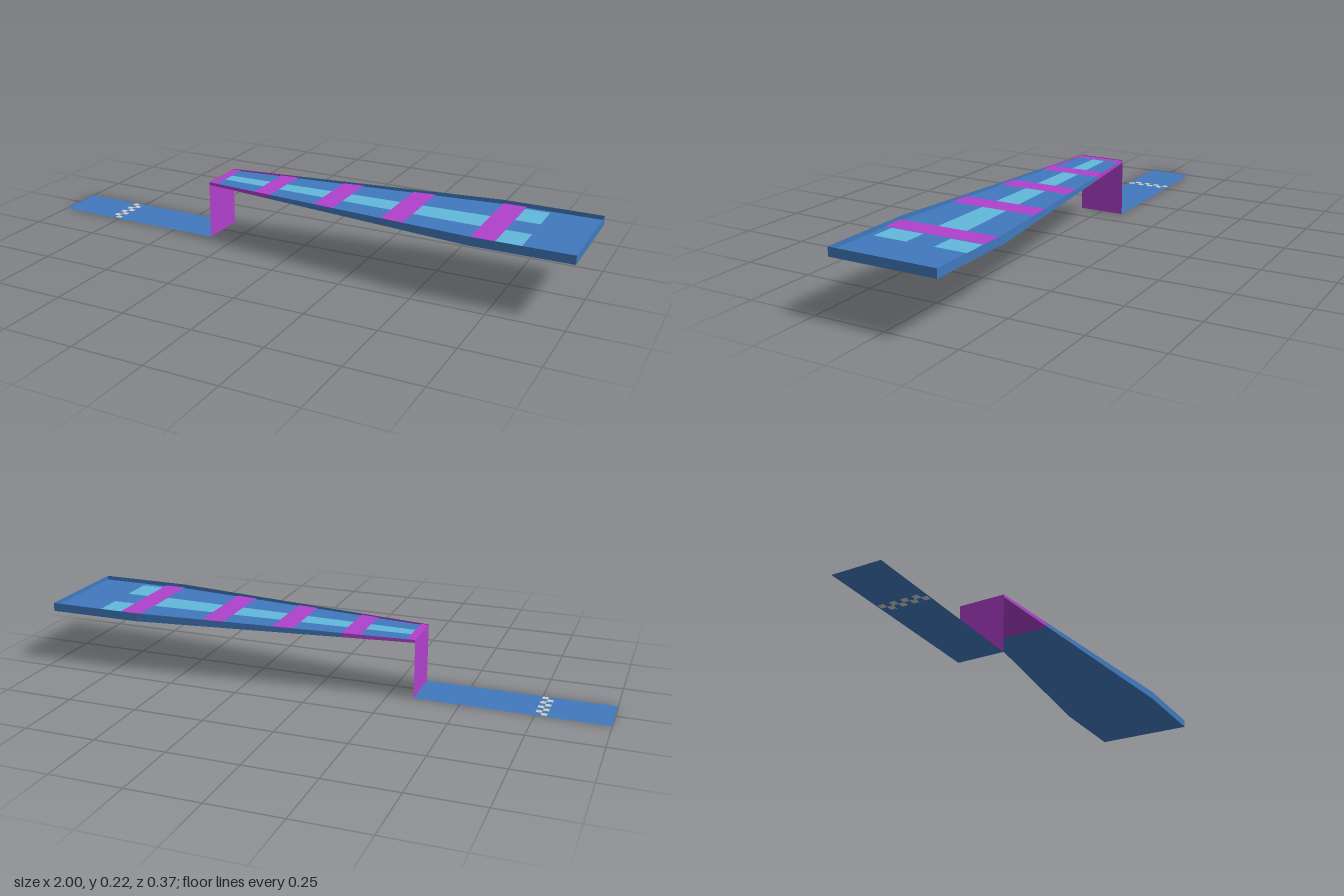
import * as THREE from 'three';

const mat = (color) => new THREE.MeshStandardMaterial({ color, side: THREE.DoubleSide, flatShading: true });
const BLUE = 0x4079bd, PURPLE = 0xb040cc, CYAN = 0x62b8dc;
const MID = 0.205; // height of the raised deck
const X0 = -0.34, XW = 0.66, X1 = 1;

// half width and half rim height of the raised deck along x
const ramp = (x) => Math.min(1, (x - X0) / (XW - X0));
const halfWidth = (x) => 0.085 + 0.102 * ramp(x);
const halfRim = (x) => 0.005 + 0.01 * ramp(x);

export function createModel() {
  const model = new THREE.Group();
  const materials = { [BLUE]: mat(BLUE), [PURPLE]: mat(PURPLE), [CYAN]: mat(CYAN), [0xcccccc]: mat(0xcccccc) };

  // thin four-cornered panel, corners counter-clockwise
  function panel(name, color, a, b, c, d) {
    const g = new THREE.BufferGeometry();
    g.setAttribute('position', new THREE.Float32BufferAttribute([...a, ...b, ...c, ...d], 3));
    g.setIndex([0, 1, 2, 0, 2, 3]);
    g.computeVertexNormals();
    const m = new THREE.Mesh(g, materials[color]);
    m.name = name;
    model.add(m);
  }
  // level panel between xa and xb; z ranges given at both ends
  function flat(name, color, xa, xb, y, za, zb) {
    panel(name, color, [xa, y, za[1]], [xb, y, zb[1]], [xb, y, zb[0]], [xa, y, za[0]]);
  }
  const across = (x) => [-halfWidth(x), halfWidth(x)];

  // low strip and the riser up to the deck
  flat('lowStrip', BLUE, -1, X0, 0, [-0.085, 0.085], [-0.085, 0.085]);
  const low = MID - halfRim(X0);
  panel('riser', PURPLE, [X0, 0, -0.085], [X0, 0, 0.085], [X0, low, 0.085], [X0, low, -0.085]);

  // checkered line on the low strip
  for (let row = 0; row < 8; row++) {
    const check = new THREE.Mesh(new THREE.BoxGeometry(0.02, 0.002, 0.02), materials[0xcccccc]);
    check.position.set(row % 2 ? -0.76 : -0.78, 0.0005, -0.07 + row * 0.02);
    check.name = 'checkSquare';
    model.add(check);
  }

  // tray of the raised deck: floor, underside and side rims per section
  const breaks = [X0, -0.085, 0.165, 0.425, XW, X1];
  for (let i = 0; i < breaks.length - 1; i++) {
    const a = breaks[i], b = breaks[i + 1], color = i ? BLUE : PURPLE;
    const ya = halfRim(a), yb = halfRim(b);
    flat('deckSurface', BLUE, a, b, MID, across(a), across(b));
    panel('underside', color,
      [a, MID - ya, -halfWidth(a)], [b, MID - yb, -halfWidth(b)],
      [b, MID - yb, halfWidth(b)], [a, MID - ya, halfWidth(a)]);
    for (const s of [-1, 1]) {
      const p = [a, MID - ya, s * halfWidth(a)], q = [b, MID - yb, s * halfWidth(b)];
      const r = [b, MID + yb, q[2]], t = [a, MID + ya, p[2]];
      if (s > 0) panel('leftSideRim', color, p, q, r, t);
      else panel('rightSideRim', color, q, p, t, r);
    }
  }
  // end rims
  for (const [x, color] of [[X0, PURPLE], [X1, BLUE]]) {
    const w = halfWidth(x) * Math.sign(x), h = halfRim(x);
    panel('endRim', color, [x, MID - h, w], [x, MID - h, -w], [x, MID + h, -w], [x, MID + h, w]);
  }

  // widening centre stripe and the two pads at the wide end
  flat('centreStripe', CYAN, -0.31, XW, MID + 0.0015, [-0.024, 0.024], [-0.052, 0.052]);
  for (const z of [[-0.17, -0.052], [0.045, 0.163]]) {
    flat('pad', CYAN, 0.74, 0.825, MID + 0.0015, z, z);
  }

  // cross bands
  for (const [a, b] of [[X0, -0.31], [-0.15, -0.085], [0.09, 0.165], [0.345, 0.425], [0.66, 0.74]]) {
    flat('crossBand', PURPLE, a, b, MID + 0.003, across(a), across(b));
  }
  return model;
}
